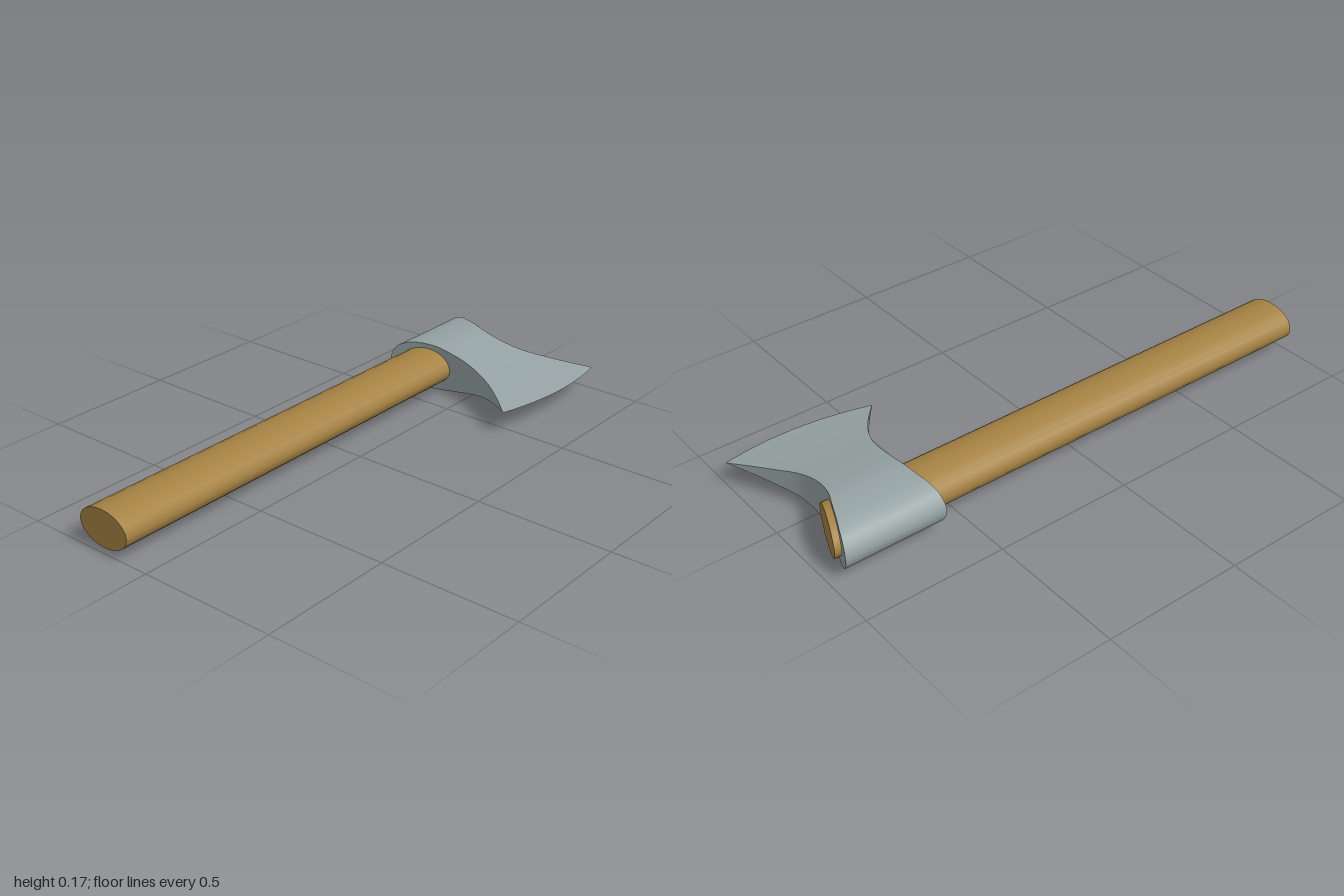
import * as THREE from 'three';

const MID_Y = 0.088;

// Grid surface: point(row, col) -> [x, y, z], smooth within the patch
function gridGeometry(rows, cols, point) {
  const pos = [], idx = [];
  for (let r = 0; r < rows; r++) {
    for (let c = 0; c < cols; c++) {
      pos.push(...point(r, c));
      if (r < rows - 1 && c < cols - 1) {
        const a = r * cols + c;
        idx.push(a, a + 1, a + cols, a + 1, a + cols + 1, a + cols);
      }
    }
  }
  const g = new THREE.BufferGeometry();
  g.setAttribute('position', new THREE.Float32BufferAttribute(pos, 3));
  g.setIndex(idx);
  g.computeVertexNormals();
  return g;
}

function createHead(steel) {
  // Cutting edge to poll: z, half thickness, x of inner side, x of outer side
  const sections = [
    [0.33, 0.0002, 0.45, 0.995], [0.23, 0.016, 0.513, 0.946], [0.15, 0.03, 0.558, 0.909],
    [0.07, 0.046, 0.591, 0.874], [0, 0.062, 0.607, 0.86], [-0.06, 0.074, 0.613, 0.86],
    [-0.12, 0.084, 0.615, 0.872], [-0.165, 0.087, 0.613, 0.89], [-0.21, 0.085, 0.609, 0.908],
    [-0.25, 0.08, 0.602, 0.924], [-0.28, 0.07, 0.596, 0.936], [-0.303, 0.057, 0.591, 0.944],
    [-0.32, 0.038, 0.588, 0.95], [-0.33, 0.018, 0.585, 0.954], [-0.333, 0, 0.584, 0.955],
  ];
  const spline = (k) => new THREE.CatmullRomCurve3(
    sections.map((s) => new THREE.Vector3(s[0], s[1], s[k])), false, 'catmullrom');
  const inner = spline(2), outer = spline(3);
  const N = 42, COLS = 17;

  // side is +1 for the upper cheek, -1 for the lower one; s runs across the head
  const point = (i, s, side) => {
    const a = inner.getPoint(i / N), b = outer.getPoint(i / N);
    const bow = Math.max(0, a.x / 0.33) ** 2 * 0.14 * (s - 0.6) ** 2;
    return [a.z + (b.z - a.z) * s, MID_Y + side * Math.max(0, a.y), a.x - bow];
  };

  const head = new THREE.Group();
  head.name = 'axeHead';
  const add = (name, geometry) => {
    const mesh = new THREE.Mesh(geometry, steel);
    mesh.name = name;
    head.add(mesh);
  };
  // Both cheeks wrapped around the rounded poll
  add('cheeks', gridGeometry(2 * N + 1, COLS, (r, c) =>
    point(r <= N ? r : 2 * N - r, c / (COLS - 1), r <= N ? 1 : -1)));
  // Concave side walls
  add('outerSide', gridGeometry(N + 1, 2, (r, c) => point(r, 1, c ? -1 : 1)));
  add('innerSide', gridGeometry(N + 1, 2, (r, c) => point(r, 0, c ? 1 : -1)));
  return head;
}

function createHandle(wood) {
  // Oval shaft with its far end cut on a slant
  const g = new THREE.CylinderGeometry(1, 1, 2, 24);
  g.rotateZ(-Math.PI / 2);
  g.scale(1, 0.067, 0.105);
  g.translate(0, MID_Y + 0.002, -0.181);
  const p = g.attributes.position, n = g.attributes.normal;
  const slant = new THREE.Vector3(1, 0, 0.385).normalize();
  for (let i = 0; i < p.count; i++) {
    if (p.getX(i) > 0) p.setX(i, 0.963 - 0.385 * (p.getZ(i) + 0.286));
    if (n.getX(i) > 0.9) n.setXYZ(i, slant.x, slant.y, slant.z);
  }
  const handle = new THREE.Mesh(g, wood);
  handle.name = 'handle';
  return handle;
}

export function createModel() {
  const wood = new THREE.MeshStandardMaterial({ color: 0xa58243 });
  wood.name = 'wood';
  const steel = new THREE.MeshStandardMaterial({ color: 0x95a2a3 });
  steel.name = 'steel';

  const axe = new THREE.Group();
  axe.name = 'axe';
  axe.add(createHandle(wood), createHead(steel));
  return axe;
}
